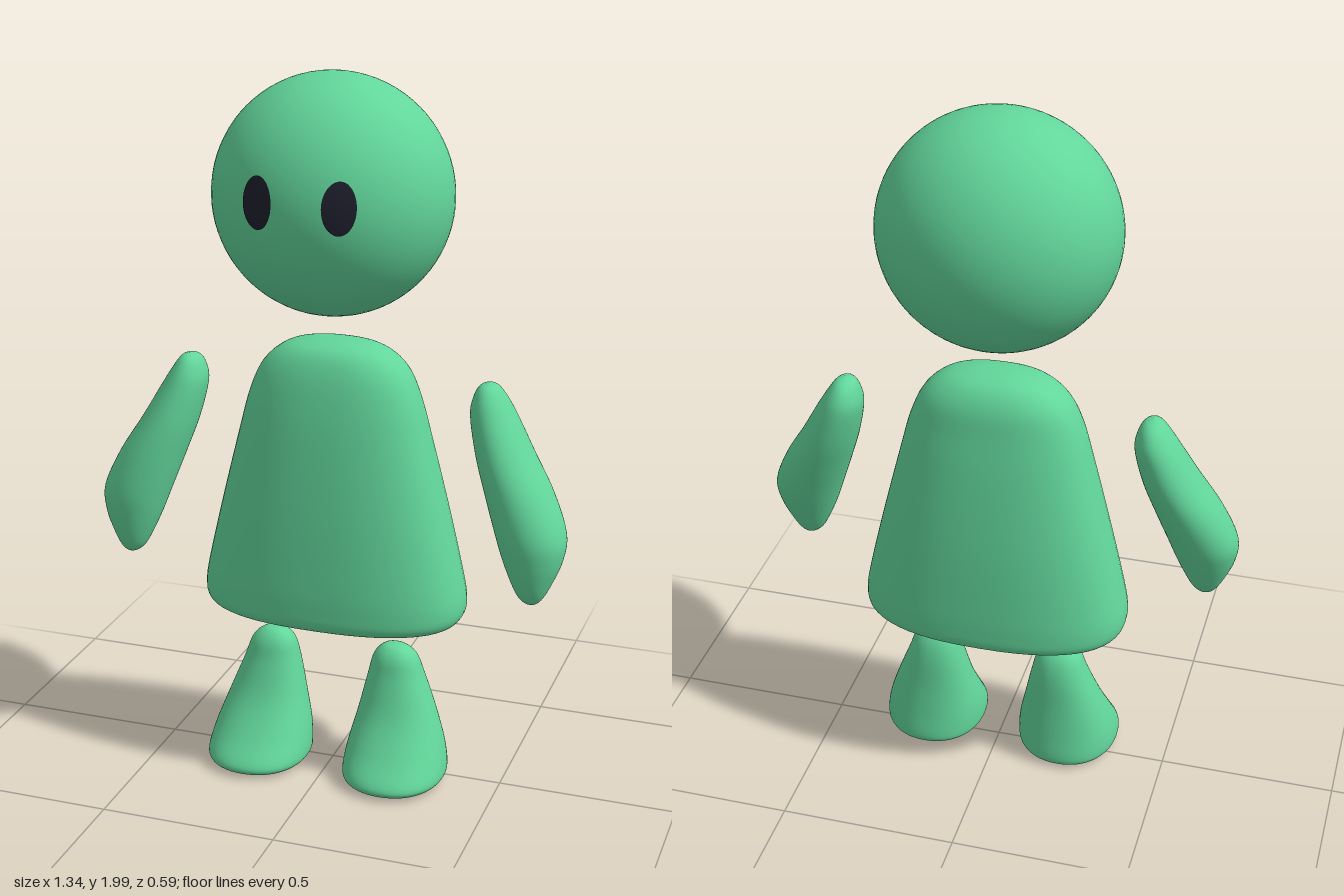
import * as THREE from 'three';

const GREEN = 0x62d69b, DARK = 0x1f1f2e;
const HEAD = { y: 1.675, rx: 0.327, ry: 0.325, rz: 0.295 };

// Cross-sections from top to bottom: [y, xMin, xMax, zBack, zFront]
const BODY = [
  [1.275, 0, 0, -0.022, -0.022],
  [1.271, -0.07, 0.07, -0.065, 0.02],
  [1.25, -0.145, 0.145, -0.108, 0.065],
  [1.2, -0.203, 0.203, -0.14, 0.095],
  [1.12, -0.24, 0.24, -0.158, 0.118],
  [1.0, -0.272, 0.272, -0.181, 0.14],
  [0.8, -0.322, 0.322, -0.209, 0.165],
  [0.62, -0.364, 0.364, -0.224, 0.18],
  [0.54, -0.378, 0.378, -0.228, 0.183],
  [0.495, -0.37, 0.37, -0.225, 0.18],
  [0.475, -0.335, 0.335, -0.2, 0.155],
  [0.469, -0.25, 0.25, -0.15, 0.105],
  [0.468, 0, 0, -0.022, -0.022],
];
const ARM = [
  [1.19, 0.432, 0.432, -0.022, -0.022],
  [1.18, 0.407, 0.456, -0.062, 0.01],
  [1.15, 0.391, 0.479, -0.09, 0.035],
  [1.1, 0.385, 0.51, -0.105, 0.057],
  [1.0, 0.407, 0.567, -0.105, 0.092],
  [0.9, 0.44, 0.628, -0.088, 0.118],
  [0.8, 0.475, 0.67, -0.06, 0.132],
  [0.73, 0.5, 0.665, -0.032, 0.127],
  [0.67, 0.526, 0.642, -0.004, 0.115],
  [0.63, 0.547, 0.622, 0.02, 0.1],
  [0.61, 0.568, 0.605, 0.042, 0.082],
  [0.605, 0.588, 0.588, 0.062, 0.062],
];
const LEG = [
  [0.396, 0.18, 0.18, -0.005, -0.005],
  [0.39, 0.15, 0.212, -0.035, 0.022],
  [0.36, 0.122, 0.245, -0.065, 0.045],
  [0.3, 0.106, 0.268, -0.083, 0.062],
  [0.2, 0.084, 0.307, -0.093, 0.1],
  [0.11, 0.064, 0.338, -0.104, 0.16],
  [0.05, 0.058, 0.35, -0.112, 0.211],
  [0.025, 0.064, 0.344, -0.109, 0.212],
  [0.013, 0.09, 0.318, -0.09, 0.18],
  [0.01, 0.13, 0.275, -0.045, 0.12],
  [0.01, 0.2, 0.2, 0.035, 0.035],
];

// Smooth closed skin over superelliptic sections; side -1 mirrors it across x
function loft(sections, power, side = 1) {
  const rows = (sections.length - 1) * 5, cols = 56;
  const spline = (x, z) => new THREE.CatmullRomCurve3(
    sections.map((s) => new THREE.Vector3(s[x], s[0], s[z])), false, 'catmullrom', 0.5);
  const low = spline(1, 3), high = spline(2, 4);
  const round = (v) => Math.sign(v) * Math.abs(v) ** (2 / power);
  const positions = [], index = [];
  for (let i = 0; i <= rows; i++) {
    const a = low.getPoint(i / rows), b = high.getPoint(i / rows);
    for (let j = 0; j < cols; j++) {
      const t = (j / cols) * Math.PI * 2;
      const x = (a.x + b.x) / 2 + ((b.x - a.x) / 2) * round(Math.cos(t));
      const z = (a.z + b.z) / 2 + ((b.z - a.z) / 2) * round(Math.sin(t));
      positions.push(side * x, a.y, z);
      if (i === rows) continue;
      const k = (j + 1) % cols, p = i * cols, q = p + cols;
      if (side > 0) index.push(p + j, p + k, q + j, p + k, q + k, q + j);
      else index.push(p + j, q + j, p + k, p + k, q + j, q + k);
    }
  }
  const geometry = new THREE.BufferGeometry();
  geometry.setAttribute('position', new THREE.Float32BufferAttribute(positions, 3));
  geometry.setIndex(index);
  geometry.computeVertexNormals();
  return geometry;
}

// Oval disc wrapped onto the front of the head
function eyeGeometry(side) {
  const geometry = new THREE.RingGeometry(0, 1, 40, 6);
  const p = geometry.attributes.position;
  for (let i = 0; i < p.count; i++) {
    const x = side * 0.11 + p.getX(i) * 0.043;
    const y = 0.027 + p.getY(i) * 0.069;
    const z = HEAD.rz * Math.sqrt(1 - (x / HEAD.rx) ** 2 - (y / HEAD.ry) ** 2);
    p.setXYZ(i, x, HEAD.y + y, z + 0.003);
  }
  geometry.computeVertexNormals();
  return geometry;
}

export function createModel() {
  const model = new THREE.Group();
  const green = new THREE.MeshStandardMaterial({ color: GREEN });
  const dark = new THREE.MeshStandardMaterial({ color: DARK });
  const add = (name, geometry, material = green) => {
    const mesh = new THREE.Mesh(geometry, material);
    mesh.name = name;
    model.add(mesh);
  };

  // Head and body
  add('head', new THREE.SphereGeometry(1, 64, 40)
    .scale(HEAD.rx, HEAD.ry, HEAD.rz).translate(0, HEAD.y, 0));
  add('body', loft(BODY, 2.4));

  // Paired parts
  for (const [label, side] of [['left', 1], ['right', -1]]) {
    add(label + 'Eye', eyeGeometry(side), dark);
    add(label + 'Arm', loft(ARM, 2, side));
    add(label + 'Leg', loft(LEG, 2.2, side));
  }
  return model;
}
